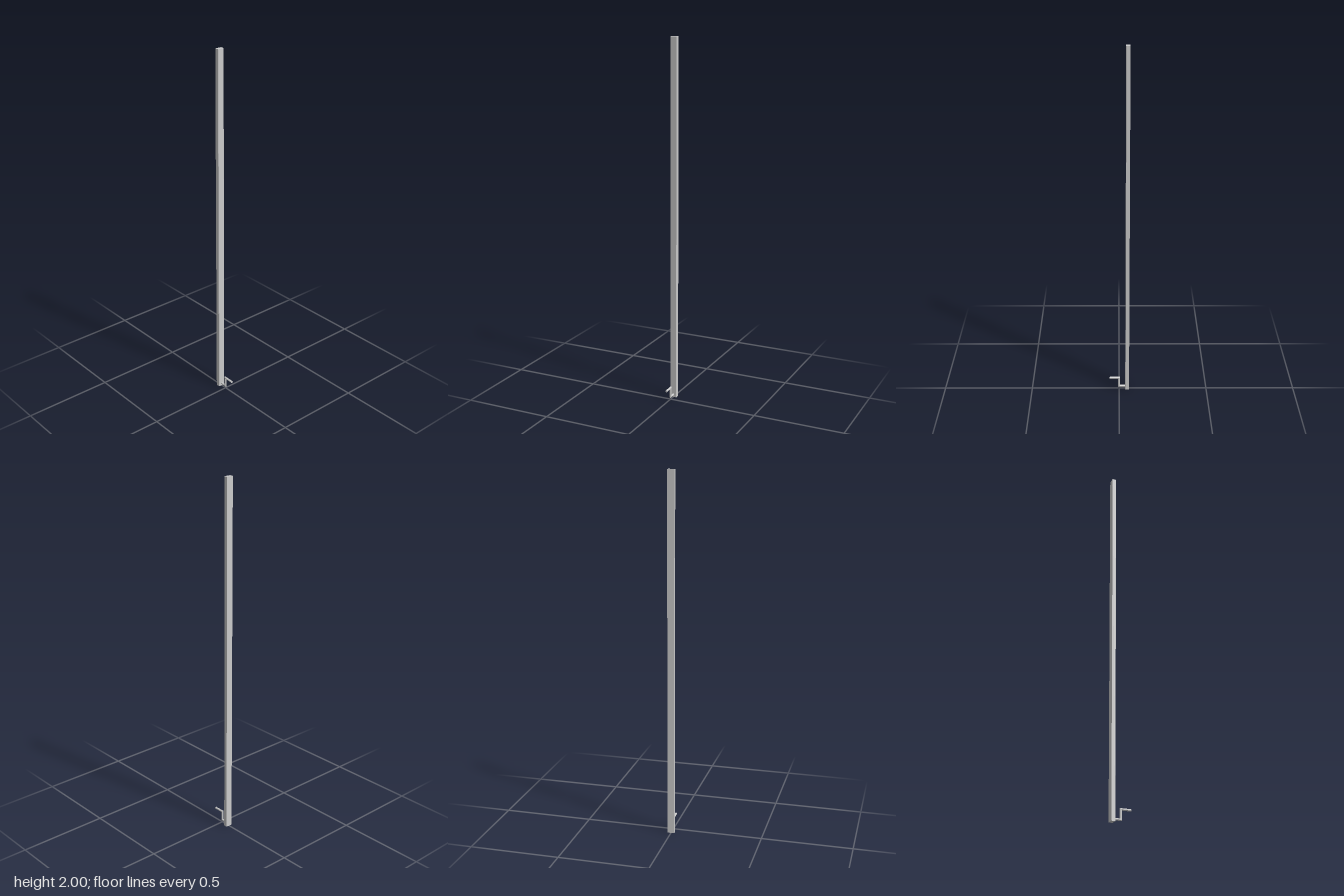
import * as THREE from 'three';

const material = new THREE.MeshStandardMaterial({ color: 0xcccccc, flatShading: true });

// Round bar in the xy plane with mitred corners
function mitredRod(points, radius, sides) {
  const pos = [], index = [];
  const dir = (a, b) => b.clone().sub(a).normalize();
  points.forEach((p, i) => {
    const before = dir(points[Math.max(i - 1, 0)], points[Math.max(i, 1)]);
    const last = points.length - 1;
    const after = dir(points[Math.min(i, last - 1)], points[Math.min(i + 1, last)]);
    const t = before.clone().add(after).normalize();
    const stretch = radius / t.dot(before);
    for (let k = 0; k < sides; k++) {
      const a = ((k + 0.5) / sides) * Math.PI * 2;
      const u = Math.cos(a) * stretch;
      pos.push(p.x - t.y * u, p.y + t.x * u, Math.sin(a) * radius);
    }
  });
  for (let i = 0; i < points.length - 1; i++) {
    for (let k = 0; k < sides; k++) {
      const a = i * sides + k, b = i * sides + (k + 1) % sides;
      index.push(a, b, a + sides, b, b + sides, a + sides);
    }
  }
  // End caps
  const end = (points.length - 1) * sides;
  for (let k = 1; k < sides - 1; k++) {
    index.push(0, k + 1, k, end, end + k, end + k + 1);
  }
  const geo = new THREE.BufferGeometry();
  geo.setAttribute('position', new THREE.Float32BufferAttribute(pos, 3));
  geo.setIndex(index);
  geo.computeVertexNormals();
  return geo;
}

export function createModel() {
  const group = new THREE.Group();

  // Tall post, with its two corners on the crank side chamfered
  const x0 = -0.057, x1 = -0.035, w = 0.019, c = 0.002;
  const outline = new THREE.Shape([
    [x0, -w], [x1 - c, -w], [x1, -w + c], [x1, w - c], [x1 - c, w], [x0, w],
  ].map(([x, y]) => new THREE.Vector2(x, y)));
  const postGeo = new THREE.ExtrudeGeometry(outline, { depth: 2, bevelEnabled: false });
  postGeo.rotateX(-Math.PI / 2);
  const post = new THREE.Mesh(postGeo, material);
  post.name = 'post';
  group.add(post);

  // Crank: arm out of the post, upright, then handle
  const path = [[-0.04, 0.015], [0, 0.015], [0, 0.068], [0.056, 0.068]]
    .map(([x, y]) => new THREE.Vector2(x, y));
  const crank = new THREE.Mesh(mitredRod(path, 0.0062, 8), material);
  crank.name = 'crankHandle';
  group.add(crank);

  return group;
}
